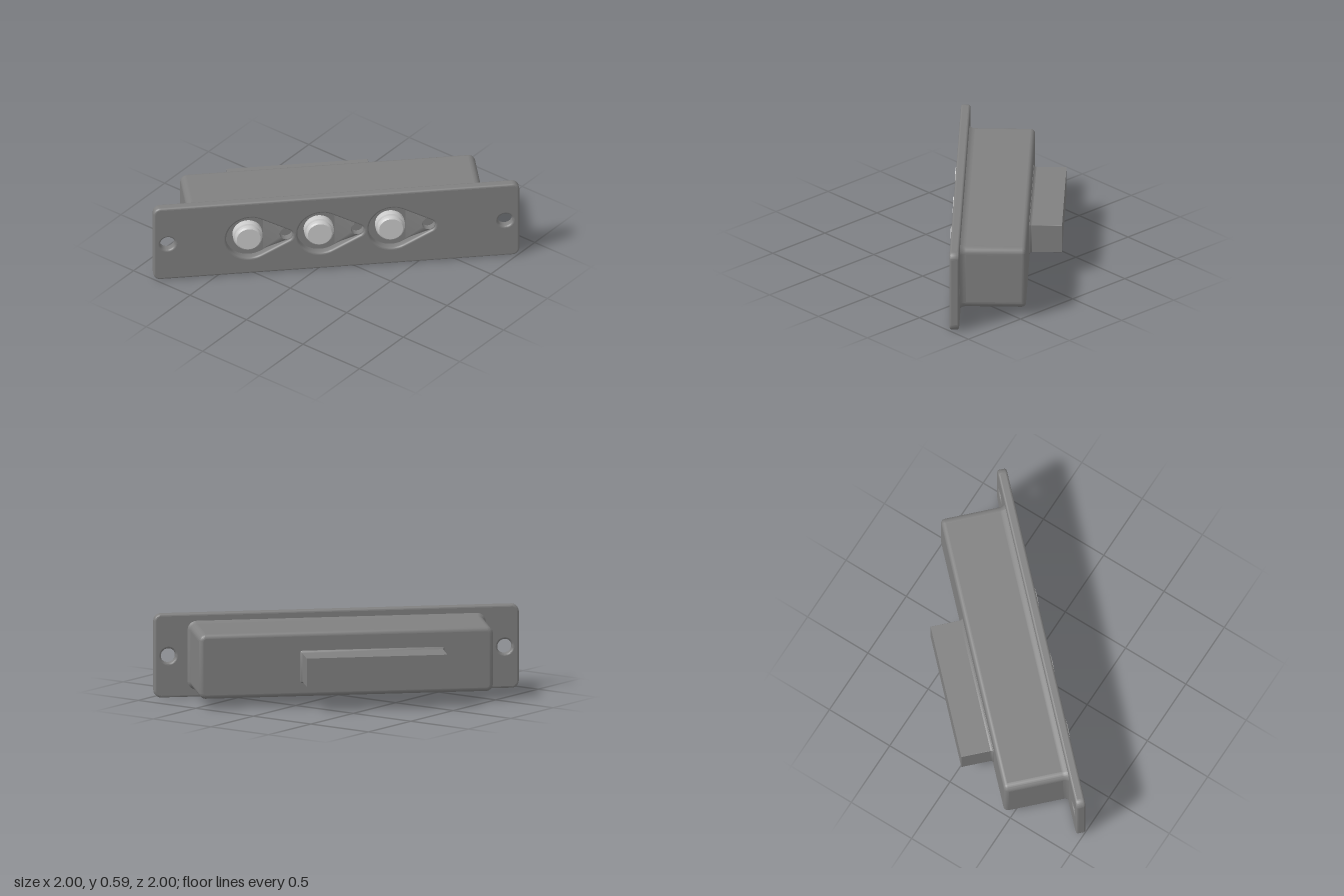
import * as THREE from 'three';
import { toCreasedNormals } from 'three/addons/utils/BufferGeometryUtils.js';

const MID = 0.305;      // height of the centre line
const SEAT = 0.07;      // where plate and housing meet
const FACE = 0.137;     // front of the plate
const PITCH = 0.502, FIRST = -0.61, LAMP = 0.257;

// Rounded rectangle with half sizes a and b
function roundedRect(a, b, r) {
  const s = new THREE.Shape();
  s.absarc(a - r, b - r, r, 0, Math.PI / 2);
  s.absarc(-a + r, b - r, r, Math.PI / 2, Math.PI);
  s.absarc(-a + r, -b + r, r, Math.PI, Math.PI * 1.5);
  s.absarc(a - r, -b + r, r, Math.PI * 1.5, Math.PI * 2);
  s.closePath();
  return s;
}

function circle(x, r) {
  return new THREE.Path().absarc(x, 0, r, 0, Math.PI * 2, true);
}

// Large circle tapering to a small one on the right
function teardrop(x, R, r, d) {
  const t = Math.acos((R - r) / d);
  const p = new THREE.Path();
  p.absarc(x, 0, R, t, Math.PI * 2 - t, false);
  p.absarc(x + d, 0, r, -t, t, false);
  p.closePath();
  return p;
}

// Smooth the rounded edges but keep every straight face evenly flat
function smoothEdges(geometry) {
  const g = toCreasedNormals(geometry, 0.6);
  const { position, normal } = g.attributes;
  const tri = new THREE.Triangle(), n = new THREE.Vector3();
  for (let i = 0; i < position.count; i += 3) {
    tri.setFromAttributeAndIndices(position, i, i + 1, i + 2).getNormal(n);
    if (Math.max(Math.abs(n.x), Math.abs(n.y), Math.abs(n.z)) < 0.9999) continue;
    for (let k = i; k < i + 3; k++) normal.setXYZ(k, n.x, n.y, n.z);
  }
  return g;
}

// Closed solid through rounded-rectangle sections, ordered front to back
function loft(a, b, r, sections) {
  const pos = [], idx = [];
  let n = 0;
  for (const [z, grow] of sections) {
    const pts = roundedRect(a + grow, b + grow, r + grow).getPoints(8).slice(0, -1);
    n = pts.length;
    pts.forEach((p) => pos.push(p.x, p.y, z));
  }
  const last = (sections.length - 1) * n, c = sections.length * n;
  pos.push(0, 0, sections[0][0], 0, 0, sections.at(-1)[0]);
  for (let i = 0; i < n; i++) {
    const j = (i + 1) % n;
    for (let k = 0; k < last; k += n) {
      idx.push(k + i, k + n + i, k + j, k + j, k + n + i, k + n + j);
    }
    idx.push(c, i, j, c + 1, last + j, last + i);
  }
  const g = new THREE.BufferGeometry();
  g.setAttribute('position', new THREE.Float32BufferAttribute(pos, 3));
  g.setIndex(idx);
  return smoothEdges(g);
}

export function createModel() {
  const dark = new THREE.MeshStandardMaterial({ color: 0x808080 });
  const light = new THREE.MeshStandardMaterial({ color: 0xcccccc });
  const device = new THREE.Group();
  device.name = 'controlPanel';
  const add = (name, geometry, material, x, y, z) => {
    const m = new THREE.Mesh(geometry, material);
    m.name = name;
    m.position.set(x, y, z);
    device.add(m);
  };
  const centres = [0, 1, 2].map((i) => FIRST + i * PITCH);

  // Front plate with screw holes and teardrop recesses
  const bevel = 0.015;
  const plate = roundedRect(1.29, 0.297, 0.05);
  for (const side of [-1, 1]) plate.holes.push(circle(side * 1.19, 0.052));
  for (const c of centres) plate.holes.push(teardrop(c, 0.167, 0.046, LAMP));
  const plateGeo = new THREE.ExtrudeGeometry(plate, {
    depth: FACE - SEAT - 2 * bevel, bevelThickness: bevel, bevelSize: bevel,
    bevelOffset: -bevel, bevelSegments: 4, curveSegments: 20,
  });
  add('frontPlate', smoothEdges(plateGeo), dark, 0, MID - 0.005, SEAT + bevel);

  // Housing with a flared foot and rounded back edges
  const sections = [[SEAT, 0.015], [0.058, 0.007], [0.045, 0.002], [0.03, 0]];
  const e = 0.03;
  for (let i = 0; i <= 4; i++) {
    const t = (i / 4) * Math.PI / 2;
    sections.push([-0.39 + e - e * Math.sin(t), -e * (1 - Math.cos(t))]);
  }
  add('housing', loft(1.04, 0.23, 0.05, sections), dark, 0, MID - 0.005, 0);

  // Rear connector block with a small flared foot
  const block = [[-0.38, 0.015], [-0.392, 0.013], [-0.398, 0.005], [-0.41, 0], [-0.62, 0]];
  add('rearConnector', loft(0.4975, 0.1025, 0.002, block), dark, -0.183, 0.283, 0);

  // Ramp inside each recess, rising to the lamp hole
  const rampShape = new THREE.Shape();
  rampShape.moveTo(0.1, -0.14);
  rampShape.lineTo(0.31, -0.14);
  rampShape.lineTo(0.31, 0.14);
  rampShape.lineTo(0.1, 0.14);
  rampShape.closePath();
  rampShape.holes.push(circle(LAMP, 0.046));
  const ramp = new THREE.ExtrudeGeometry(rampShape, { depth: 1, bevelEnabled: false, curveSegments: 16 });
  const p = ramp.attributes.position;
  for (let i = 0; i < p.count; i++) {
    const rise = THREE.MathUtils.clamp((p.getX(i) - 0.1) / 0.12, 0.02, 1) * 0.05;
    p.setZ(i, p.getZ(i) * rise);
  }
  const rampGeo = toCreasedNormals(ramp, 0.3);

  // Push button with a collar and a chamfered cap, turned to face forward
  const profile = [
    [0, 0], [0.104, 0], [0.104, 0.046], [0.094, 0.052],
    [0.094, 0.076], [0.084, 0.086], [0, 0.086],
  ].map(([x, y]) => new THREE.Vector2(x, y));
  const buttonGeo = toCreasedNormals(new THREE.LatheGeometry(profile, 40).rotateX(Math.PI / 2), 0.5);

  for (const c of centres) {
    add('recessRamp', rampGeo, dark, c, MID, SEAT);
    add('pushButton', buttonGeo, light, c - 0.012, MID, SEAT);
  }

  // The whole panel stands turned by an eighth
  device.rotation.y = -Math.PI / 4;
  const model = new THREE.Group();
  model.name = 'model';
  model.add(device);
  return model;
}
